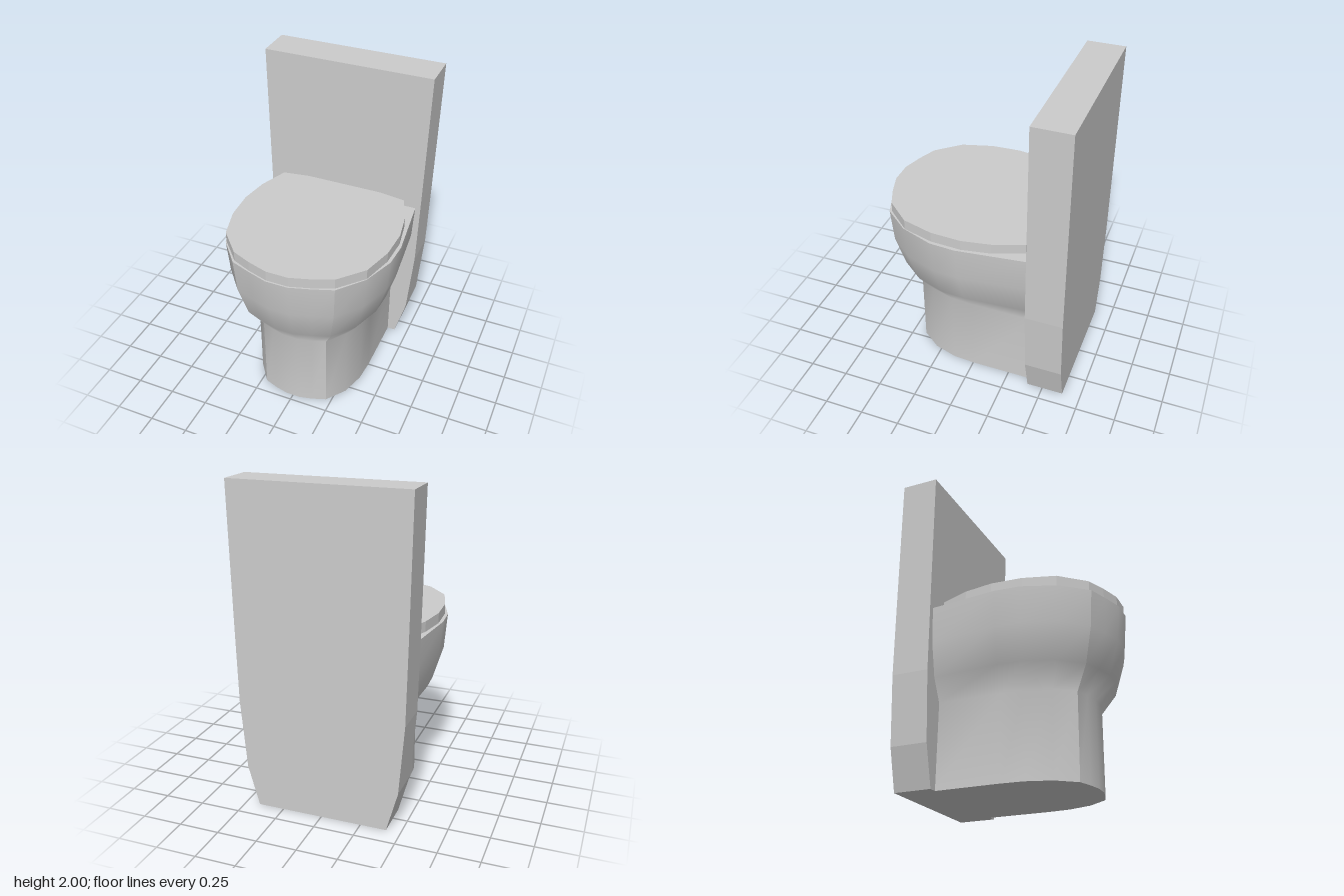
import * as THREE from 'three';
import { mergeGeometries } from 'three/addons/utils/BufferGeometryUtils.js';

const material = new THREE.MeshStandardMaterial({ color: 0xcccccc });

// Half outlines as [x, z], from the front centre round to the back
const BASE = [[0.045, 0.46], [0.13, 0.44], [0.215, 0.41], [0.305, 0.29], [0.35, 0.14], [0.36, 0], [0.36, -0.4]];
const RIM = [[0.07, 0.635], [0.2, 0.595], [0.325, 0.55], [0.455, 0.395], [0.53, 0.19], [0.54, 0.03], [0.49, -0.4]];
const LID = [[0.07, 0.625], [0.2, 0.585], [0.32, 0.535], [0.455, 0.385], [0.51, 0.19], [0.52, 0], [0.49, -0.18], [0.42, -0.365], [0.25, -0.39]];
// Half profile of the back panel as [x, y]
const PANEL = [[0.41, 0], [0.48, 0.25], [0.515, 0.68], [0.525, 1.15], [0.54, 2]];
// Bowl levels as [y, blend from base to rim]
const LEVELS = [[0, 0], [0.525, 0], [0.66, 0.55], [0.87, 0.9], [1.09, 1]];

// Mirrors a half outline into a full one, running from -x to +x
const mirror = (half) => [...half.map(([x, y]) => [-x, y]).reverse(), ...half];
const toShape = (points, sign = 1) => new THREE.Shape(points.map(([x, y]) => new THREE.Vector2(x, sign * y)));

function addMesh(parent, name, geometry) {
  const mesh = new THREE.Mesh(geometry, material);
  mesh.name = name;
  parent.add(mesh);
  return mesh;
}

// Smooth strip of the bowl wall between two outline columns
function wallStrip(rings, from, to) {
  const positions = [], index = [], columns = to - from + 1;
  rings.forEach((ring, j) => {
    for (let i = 0; i < columns; i++) {
      positions.push(...ring[from + i]);
      if (i === columns - 1 || j === rings.length - 1) continue;
      const a = j * columns + i, b = a + 1, c = b + columns, d = a + columns;
      index.push(a, b, c, a, c, d);
    }
  });
  const geometry = new THREE.BufferGeometry();
  geometry.setAttribute('position', new THREE.Float32BufferAttribute(positions, 3));
  geometry.setIndex(index);
  geometry.computeVertexNormals();
  return geometry;
}

export function createModel() {
  const group = new THREE.Group();
  group.name = 'toilet';

  // Upright back panel, narrowing towards the floor
  const panel = new THREE.ExtrudeGeometry(toShape(mirror(PANEL)), { depth: 0.235, bevelEnabled: false });
  addMesh(group, 'backPanel', panel).position.z = -0.635;

  // Bowl and pedestal: base outline blended into the rim outline
  const base = mirror(BASE), rim = mirror(RIM);
  const rings = LEVELS.map(([y, t]) => base.map(([x, z], i) => [
    THREE.MathUtils.lerp(x, rim[i][0], t), y, THREE.MathUtils.lerp(z, rim[i][1], t),
  ]));
  // Sharp edges separate the front from the two sides
  const walls = [[0, 4], [4, 9], [9, 13]].map(([from, to]) => wallStrip(rings, from, to));
  const bowl = new THREE.Group();
  bowl.name = 'bowl';
  group.add(bowl);
  addMesh(bowl, 'bowlWall', mergeGeometries(walls));
  addMesh(bowl, 'rimTop', new THREE.ShapeGeometry(toShape(rim, -1)).rotateX(-Math.PI / 2)).position.y = 1.09;
  addMesh(bowl, 'baseUnderside', new THREE.ShapeGeometry(toShape(base)).rotateX(Math.PI / 2));

  // Closed lid
  const lid = new THREE.ExtrudeGeometry(toShape(mirror(LID), -1), { depth: 0.065, bevelEnabled: false });
  addMesh(group, 'lid', lid.rotateX(-Math.PI / 2)).position.y = 1.09;

  return group;
}
